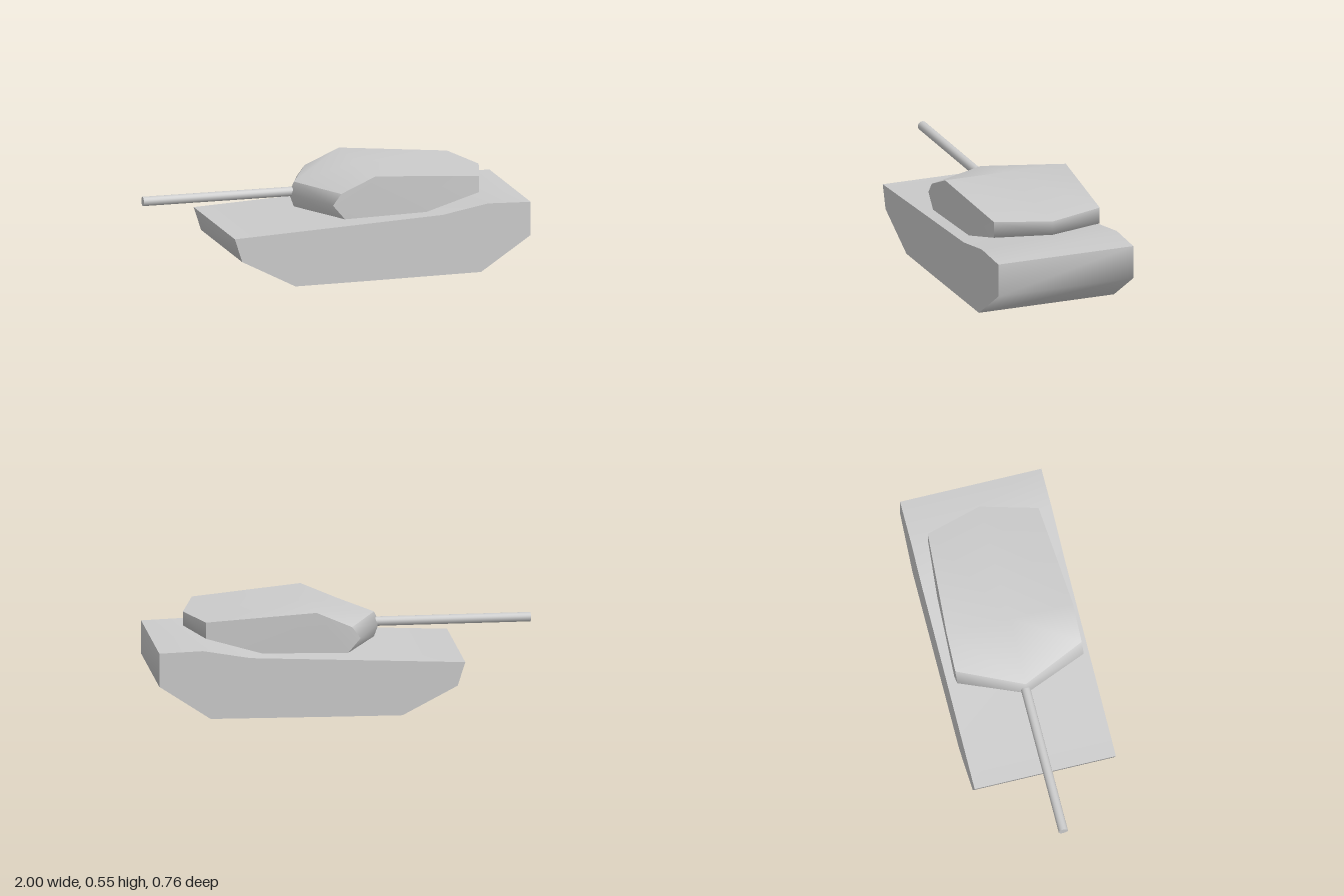
import * as THREE from 'three';
import { toCreasedNormals } from 'three/addons/utils/BufferGeometryUtils.js';

const material = new THREE.MeshStandardMaterial({ color: 0xcccccc });

function addMesh(parent, name, geometry) {
  const mesh = new THREE.Mesh(geometry, material);
  mesh.name = name;
  parent.add(mesh);
  return mesh;
}

// Skin between neighbouring loops, only for the bands from..to of each loop
function loft(loops, from, to) {
  const positions = [], index = [];
  const size = to - from + 1, count = loops[0].length;
  for (const loop of loops) {
    for (let i = from; i <= to; i++) positions.push(...loop[i % count]);
  }
  for (let s = 0; s < loops.length - 1; s++) {
    for (let i = 0; i < size - 1; i++) {
      const a = s * size + i, b = a + 1, d = a + size, c = d + 1;
      index.push(a, b, c, a, c, d);
    }
  }
  return build(positions, index);
}

// Flat side wall, fanned from the roof peak
function wall(loop, facesPlusZ) {
  const index = [], n = loop.length, peak = 2;
  for (let i = 1; i < n - 1; i++) {
    const a = (peak + i) % n, b = (peak + i + 1) % n;
    index.push(peak, ...(facesPlusZ ? [b, a] : [a, b]));
  }
  return build(loop.flat(), index);
}

function build(positions, index) {
  const g = new THREE.BufferGeometry();
  g.setAttribute('position', new THREE.Float32BufferAttribute(positions, 3));
  g.setIndex(index);
  g.computeVertexNormals();
  return g;
}

export function createModel() {
  const model = new THREE.Group();
  model.name = 'tank';

  // Hull: side profile extruded across the full width
  const profile = [
    [-0.61, 0.275], [-0.57, 0.15], [-0.28, 0], [0.1, 0.003], [0.73, 0.01],
    [1, 0.19], [1, 0.368], [0.77, 0.375], [0.52, 0.33],
  ].map(([x, y]) => new THREE.Vector2(x, y));
  const hull = new THREE.ExtrudeGeometry(new THREE.Shape(profile), { depth: 0.76, bevelEnabled: false });
  hull.translate(0, 0, -0.38);
  addMesh(model, 'hull', toCreasedNormals(hull, 1.15));

  // Turret: lengthwise loops at the left wall, the centre line and the right wall.
  // Order: nose edge, nose top, roof peak, rear top, rear bottom, belly bend, nose bottom
  const turret = new THREE.Group();
  turret.name = 'turret';
  model.add(turret);
  const side = [
    [-0.065, 0.41, 0.34], [-0.02, 0.47, 0.34], [0.167, 0.552, 0.34], [0.743, 0.507, 0.298],
    [0.743, 0.42, 0.298], [0.45, 0.338, 0.32], [0, 0.333, 0.34],
  ];
  const centre = [
    [-0.205, 0.41, 0], [-0.178, 0.47, 0], [0.167, 0.552, 0], [0.828, 0.499, 0],
    [0.828, 0.425, 0], [0.48, 0.338, 0], [-0.178, 0.337, 0],
  ];
  const mirrored = side.map(([x, y, z]) => [x, y, -z]);
  const loops = [side, centre, mirrored];
  addMesh(turret, 'turretRoof', loft(loops, 1, 3));
  addMesh(turret, 'turretRear', loft(loops, 3, 5));
  addMesh(turret, 'turretBelly', loft(loops, 5, 6));
  addMesh(turret, 'turretNose', loft(loops, 6, 8));
  addMesh(turret, 'turretLeftWall', wall(side, true));
  addMesh(turret, 'turretRightWall', wall(mirrored, false));
  turret.position.z = 0.003;

  // Gun barrel, pointing along -x
  const barrel = addMesh(model, 'gunBarrel', new THREE.CylinderGeometry(0.025, 0.025, 0.82, 16));
  barrel.rotation.z = Math.PI / 2;
  barrel.position.set(-0.59, 0.418, 0);

  return model;
}
